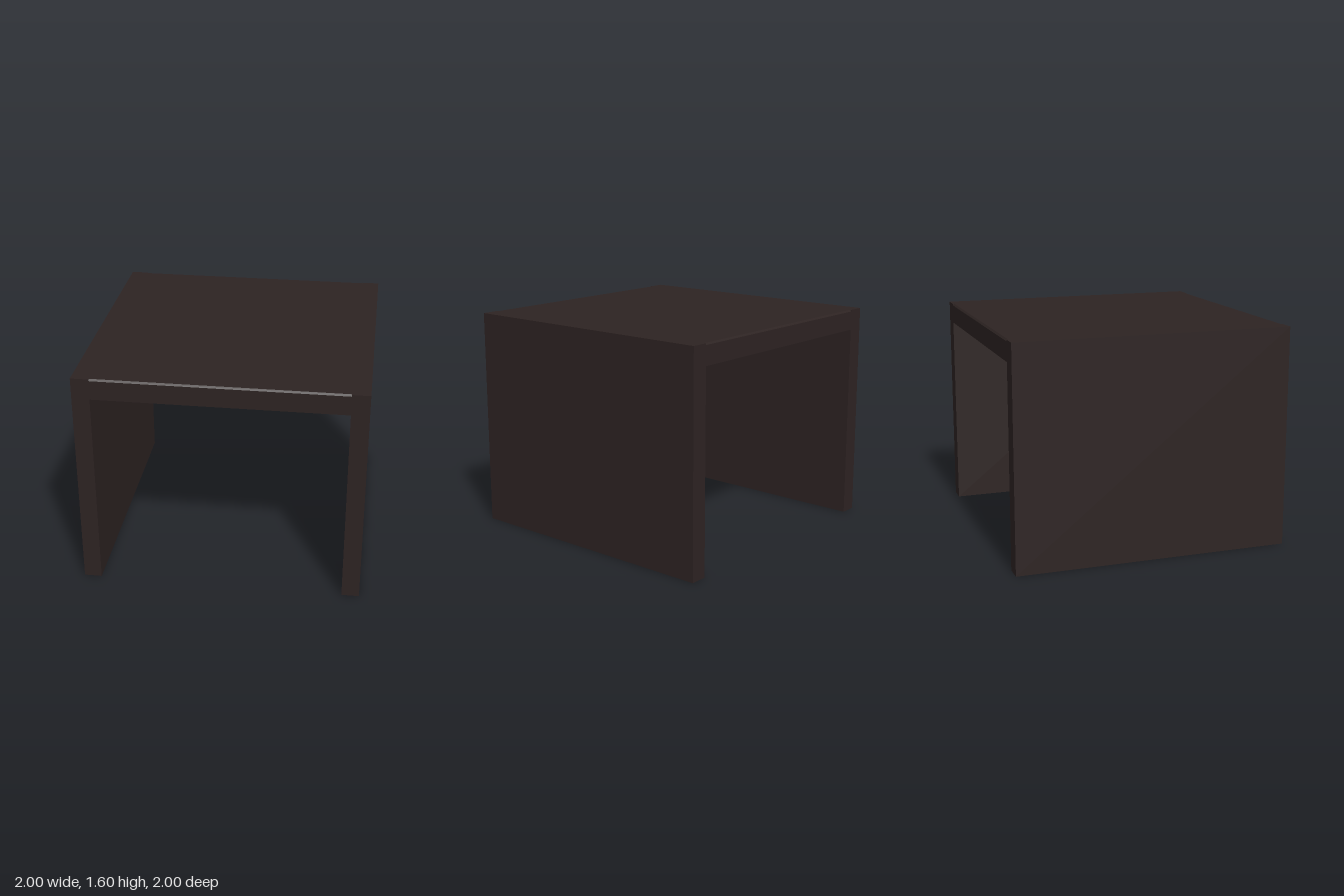
import * as THREE from 'three';

export function createModel() {
  const group = new THREE.Group();
  const darkWood = new THREE.MeshStandardMaterial({ color: 0x2d2322 });

  const height = 1.6, depth = 2, legThickness = 0.125, topThickness = 0.15, bevel = 0.012;
  const span = 2 - 2 * legThickness;

  // Full-depth side panels
  for (const [name, side] of [['leftSidePanel', 1], ['rightSidePanel', -1]]) {
    const panel = new THREE.Mesh(new THREE.BoxGeometry(legThickness, height, depth), darkWood);
    panel.name = name;
    panel.position.set(side * (1 - legThickness / 2), height / 2, 0);
    group.add(panel);
  }

  // Top slab between the panels, its upper front and back edges slightly chamfered
  const d = depth / 2, low = height - topThickness;
  const profile = new THREE.Shape([
    new THREE.Vector2(-d, low),
    new THREE.Vector2(d, low),
    new THREE.Vector2(d, height - bevel),
    new THREE.Vector2(d - bevel, height),
    new THREE.Vector2(-d + bevel, height),
    new THREE.Vector2(-d, height - bevel),
  ]);
  const slab = new THREE.ExtrudeGeometry(profile, { depth: span, bevelEnabled: false });
  slab.translate(0, 0, -span / 2).rotateY(Math.PI / 2);
  const top = new THREE.Mesh(slab, darkWood);
  top.name = 'tableTop';
  group.add(top);

  return group;
}
